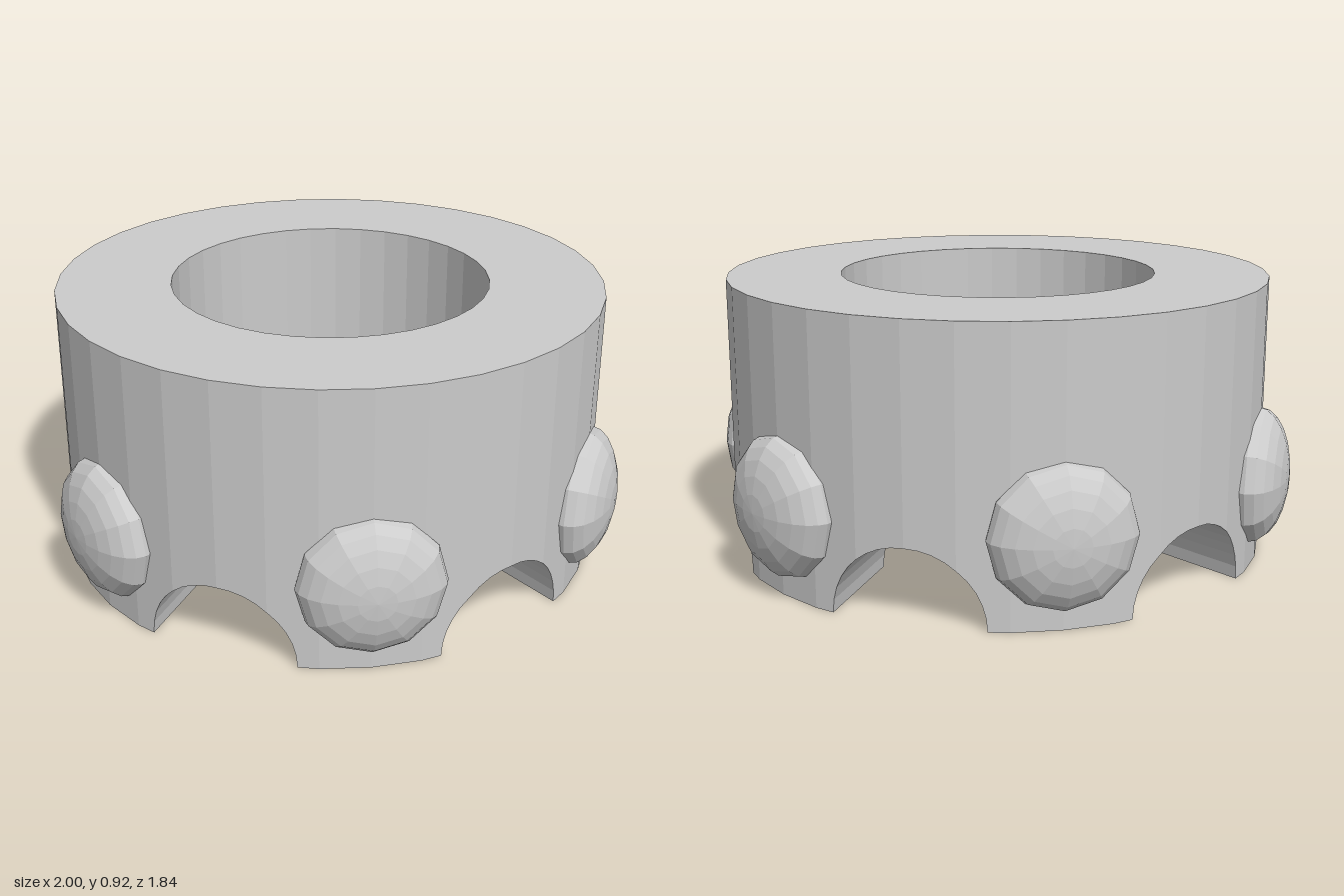
import * as THREE from 'three';

const OUTER = 0.9, INNER = 0.525, HEIGHT = 0.92;
const ARCH = 0.244, SECTORS = 6, STEP = Math.PI / 18;

// Depth of a 36-sided wall of radius r at a sideways offset x
function wallZ(r, x) {
  const k = Math.floor(Math.asin(Math.min(1, Math.abs(x) / r)) / STEP + 1e-6);
  const a = k * STEP, b = a + STEP;
  const t = (Math.abs(x) / r - Math.sin(a)) / (Math.sin(b) - Math.sin(a));
  return r * (Math.cos(a) + t * (Math.cos(b) - Math.cos(a)));
}

// Arch outline, sampled every ten degrees
const archXs = Array.from({ length: 19 }, (_, i) => -ARCH * Math.cos(i * STEP));

function archY(x) {
  if (Math.abs(x) >= ARCH) return 0;
  const i = Math.min(17, Math.floor(Math.acos(-x / ARCH) / STEP + 1e-6));
  const t = (x - archXs[i]) / (archXs[i + 1] - archXs[i]);
  return ARCH * THREE.MathUtils.lerp(Math.sin(i * STEP), Math.sin((i + 1) * STEP), t);
}

const facetXs = (r) => [-3, -2, -1, 0, 1, 2, 3].map((k) => r * Math.sin(k * STEP));
const sorted = (xs) => xs.sort((a, b) => a - b).filter((x, i) => !i || x - xs[i - 1] > 1e-5);

// One sixth of the ring, centred on an arch that faces +z
function sectorGeometry() {
  const pos = [];
  const quad = (a, b, c, d) => pos.push(...a, ...b, ...c, ...a, ...c, ...d);
  const pairs = (xs, fn) => xs.slice(1).forEach((x, i) => fn(xs[i], x));
  const at = (r, x, y) => [x, y, wallZ(r, x)];

  // Outer and inner walls
  for (const r of [OUTER, INNER]) {
    pairs(sorted([...archXs, ...facetXs(r)]), (a, b) => {
      const q = [at(r, a, archY(a)), at(r, b, archY(b)), at(r, b, HEIGHT), at(r, a, HEIGHT)];
      quad(...(r === OUTER ? q : q.reverse()));
    });
  }
  // Underside of the arch
  const inside = [...facetXs(OUTER), ...facetXs(INNER)].filter((x) => Math.abs(x) < ARCH);
  pairs(sorted([...archXs, ...inside]), (a, b) => {
    quad(at(INNER, a, archY(a)), at(INNER, b, archY(b)), at(OUTER, b, archY(b)), at(OUTER, a, archY(a)));
  });
  // Top face
  const top = (r, k) => [r * Math.sin(k * STEP), HEIGHT, r * Math.cos(k * STEP)];
  for (let k = -3; k < 3; k++) {
    quad(top(OUTER, k), top(OUTER, k + 1), top(INNER, k + 1), top(INNER, k));
  }
  // Feet on both sides of the arch
  const footXs = [ARCH, OUTER * Math.sin(2 * STEP), OUTER / 2];
  const innerX = (x) => THREE.MathUtils.mapLinear(x, ARCH, OUTER / 2, ARCH, INNER / 2);
  pairs(footXs, (a, b) => {
    const q = [at(INNER, innerX(a), 0), at(INNER, innerX(b), 0), at(OUTER, b, 0), at(OUTER, a, 0)];
    quad(...q);
    quad(...q.map(([x, y, z]) => [-x, y, z]).reverse());
  });

  const geo = new THREE.BufferGeometry();
  geo.setAttribute('position', new THREE.Float32BufferAttribute(pos, 3));
  geo.computeVertexNormals();
  return geo;
}

export function createModel() {
  const model = new THREE.Group();
  model.name = 'archedRing';
  const material = new THREE.MeshStandardMaterial({ color: 0xcccccc, flatShading: true });

  // Flattened studs with their poles facing outward
  const studGeo = new THREE.SphereGeometry(1, 12, 12);
  studGeo.rotateX(Math.PI / 2);
  studGeo.scale(0.229, 0.229, 0.115);
  studGeo.translate(0, 0.287, 0.885);

  const ringGeo = sectorGeometry();
  for (let i = 0; i < SECTORS; i++) {
    const sector = new THREE.Mesh(ringGeo, material);
    sector.name = `ringSector${i + 1}`;
    sector.rotation.y = (i * Math.PI) / 3;

    const stud = new THREE.Mesh(studGeo, material);
    stud.name = `stud${i + 1}`;
    stud.rotation.y = ((i + 0.5) * Math.PI) / 3;
    model.add(sector, stud);
  }
  return model;
}
